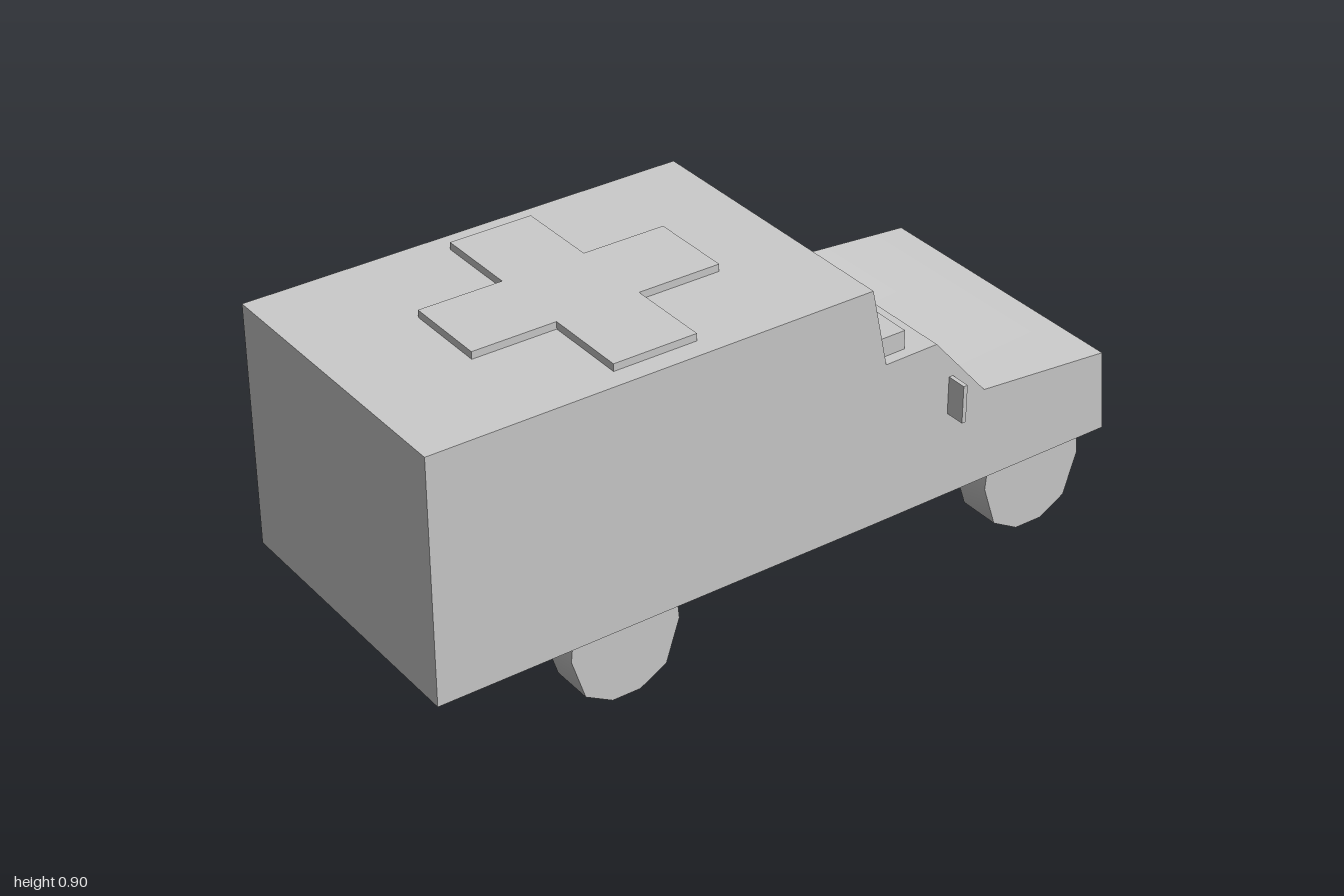
import * as THREE from 'three';
import { toCreasedNormals } from 'three/addons/utils/BufferGeometryUtils.js';

const material = new THREE.MeshStandardMaterial({ color: 0xcccccc });

// Extrudes an outline along z from z0 to z1, smoothing edges below the crease angle
function slab(points, z0, z1, creaseDegrees = 20) {
  const shape = new THREE.Shape(points.map(([x, y]) => new THREE.Vector2(x, y)));
  const geometry = new THREE.ExtrudeGeometry(shape, { depth: z1 - z0, bevelEnabled: false });
  geometry.translate(0, 0, z0);
  return toCreasedNormals(geometry, THREE.MathUtils.degToRad(creaseDegrees));
}

export function createModel() {
  const group = new THREE.Group();
  const add = (name, geometry, x = 0, y = 0, z = 0) => {
    const mesh = new THREE.Mesh(geometry, material);
    mesh.name = name;
    mesh.position.set(x, y, z);
    group.add(mesh);
    return mesh;
  };

  // Van body: tall rear box, cab step, sloping windscreen and bonnet
  add('body', slab([
    [-1, 0.207], [0.25, 0.21], [1, 0.217], [0.98, 0.447], [0.59, 0.478],
    [0.43, 0.663], [0.275, 0.66], [0.228, 0.878], [-1, 0.878],
  ], -0.402, 0.406, 47));

  // Raised cross on the roof
  const a = 0.115, b = 0.345;
  const cross = slab([
    [-a, -b], [a, -b], [a, -a], [b, -a], [b, a], [a, a],
    [a, b], [-a, b], [-a, a], [-b, a], [-b, -a], [-a, -a],
  ], 0, 0.025);
  cross.rotateX(-Math.PI / 2);
  add('roofCross', cross, -0.355, 0.873, 0.005);

  // Light bar above the windscreen, with a V notch in the middle
  const bar = slab([
    [-0.375, 0.655], [0.375, 0.655], [0.375, 0.713], [0.022, 0.713],
    [0, 0.685], [-0.022, 0.713], [-0.375, 0.713],
  ], -0.035, 0.035);
  bar.rotateY(Math.PI / 2);
  add('lightBar', bar, 0.32, 0, 0);

  // Door mirrors
  for (const side of [-1, 1]) {
    add('doorMirror', new THREE.BoxGeometry(0.012, 0.105, 0.08), 0.48, 0.503, side * 0.422);
  }

  // Wheels: coarse polygonal discs whose tops sit inside the body
  const half = [[0.04, 0], [0.116, 0.043], [0.154, 0.16], [0.148, 0.22], [0.09, 0.285]];
  const outline = [...half, ...half.map(([x, y]) => [-x, y]).reverse()];
  const wheel = slab(outline, -0.059, 0.059, 50);
  for (const [name, x] of [['rearWheel', -0.473], ['frontWheel', 0.78]]) {
    for (const z of [-0.312, 0.33]) add(name, wheel, x, 0, z);
  }

  return group;
}
